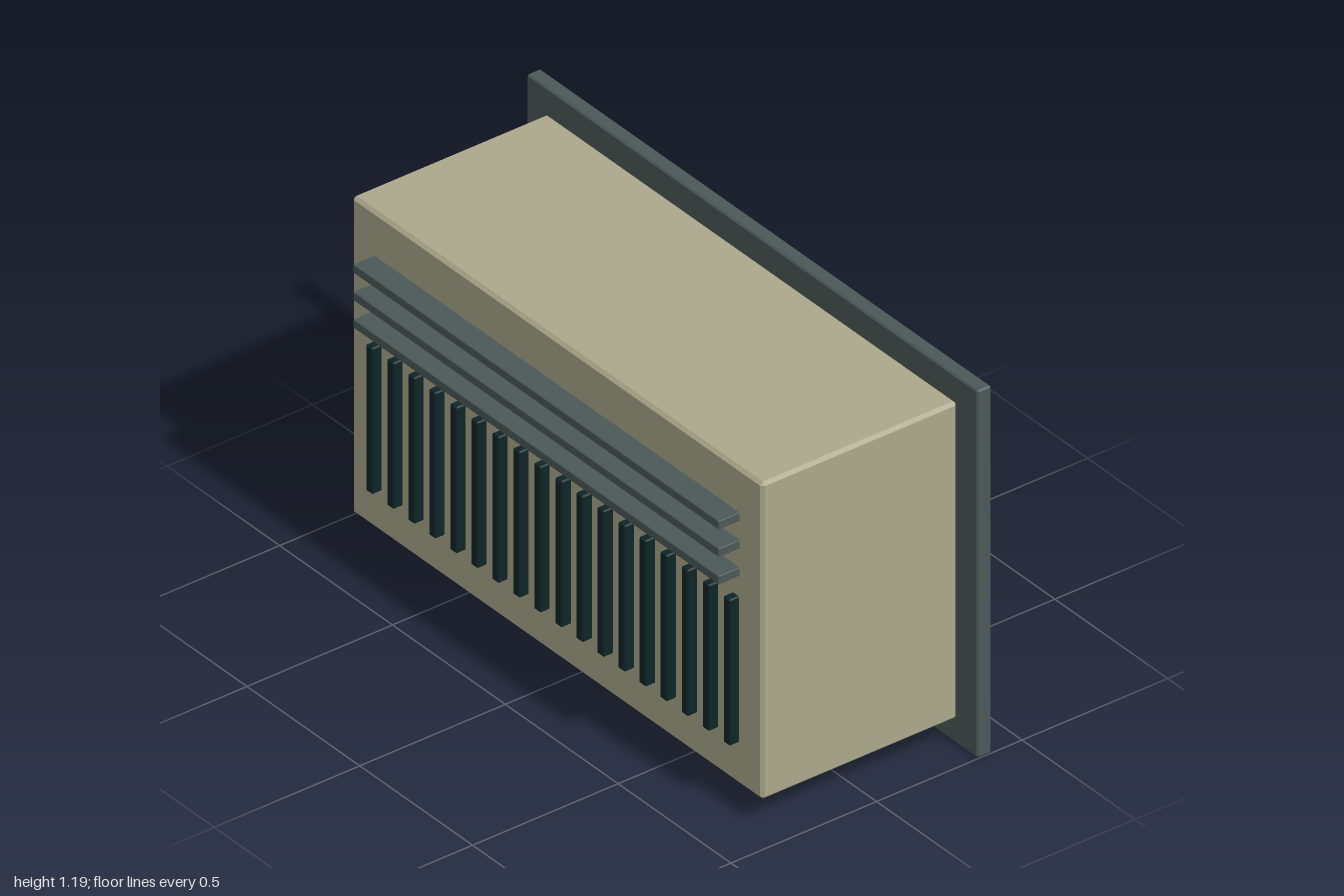
import * as THREE from 'three';
import { ConvexGeometry } from 'three/addons/geometries/ConvexGeometry.js';

const beige = new THREE.MeshStandardMaterial({ color: 0xaca88c });
beige.name = 'beige casing';
const slate = new THREE.MeshStandardMaterial({ color: 0x4c5858 });
slate.name = 'slate metal';
const dark = new THREE.MeshStandardMaterial({ color: 0x0e2427 });
dark.name = 'dark vent';

// Box with flat chamfered edges, given by its min and max corners
function chamferBox(name, material, min, max, c) {
  const half = min.map((m, i) => (max[i] - m) / 2);
  const points = [];
  for (const sx of [-1, 1]) for (const sy of [-1, 1]) for (const sz of [-1, 1]) {
    for (let full = 0; full < 3; full++) {
      const p = [sx, sy, sz].map((s, i) => s * (half[i] - (i === full ? 0 : c)));
      points.push(new THREE.Vector3(...p));
    }
  }
  const mesh = new THREE.Mesh(new ConvexGeometry(points), material);
  mesh.name = name;
  mesh.position.set(...min.map((m, i) => (m + max[i]) / 2));
  return mesh;
}

export function createModel() {
  const model = new THREE.Group();
  model.name = 'ventUnit';

  // Mounting plate at the back and the casing in front of it
  model.add(chamferBox('backPlate', slate, [-1, 0, -0.395], [1, 1.19, -0.348], 0.005));
  model.add(chamferBox('casing', beige, [-0.91, 0.083, -0.35], [0.91, 1.11, 0.323], 0.01));

  // Three horizontal louvres
  const louvres = new THREE.Group();
  louvres.name = 'louvres';
  for (let i = 0; i < 3; i++) {
    const y = 0.775 + i * 0.089;
    louvres.add(chamferBox('louvre', slate, [-0.81, y - 0.014, 0.31], [0.81, y + 0.014, 0.395], 0.002));
  }
  model.add(louvres);

  // Row of eighteen vertical grille bars
  const grille = new THREE.Group();
  grille.name = 'grille';
  for (let i = 0; i < 18; i++) {
    const x = (i - 8.5) * 0.0932;
    grille.add(chamferBox('grilleBar', dark, [x - 0.015, 0.22, 0.31], [x + 0.015, 0.694, 0.355], 0.004));
  }
  model.add(grille);

  return model;
}
